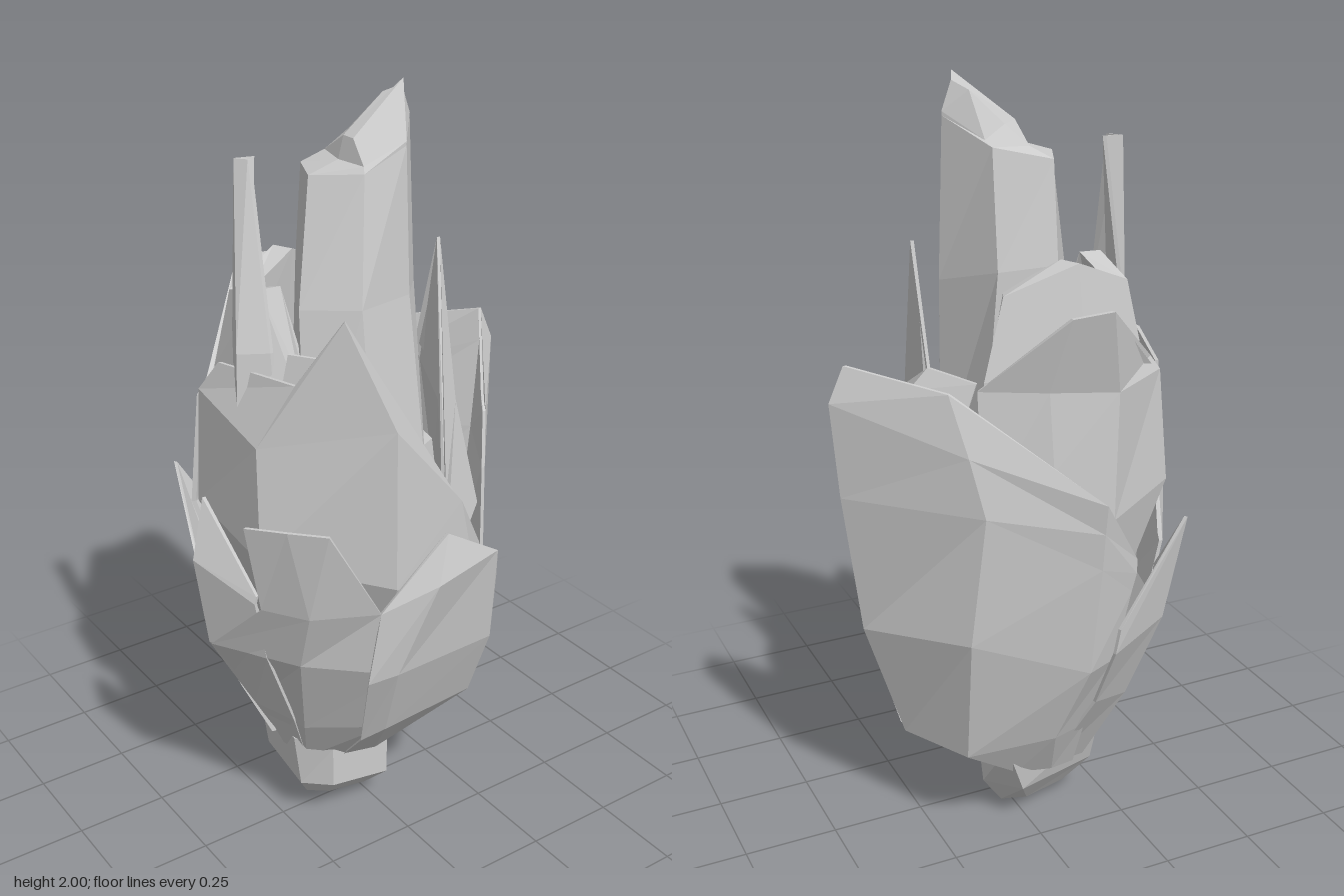
import * as THREE from 'three';

const material = new THREE.MeshStandardMaterial({ color: 0xcccccc, flatShading: true, side: THREE.DoubleSide });

function meshFromTriangles(name, tris) {
  const solid = tris.filter(([a, b, c]) => {
    const [p, q, r] = [a, b, c].map(v => new THREE.Vector3(...v));
    return q.sub(p).cross(r.sub(p)).length() > 1e-7;
  });
  const geometry = new THREE.BufferGeometry();
  geometry.setAttribute('position', new THREE.Float32BufferAttribute(solid.flat(2), 3));
  geometry.computeVertexNormals();
  const mesh = new THREE.Mesh(geometry, material);
  mesh.name = name;
  return mesh;
}

const quad = (a, b, c, d) => [[a, b, c], [a, c, d]];

// Closed solid through rings of points, bottom to top, with fan caps
function loft(name, rings) {
  const tris = [], n = rings[0].length, top = rings.length - 1;
  for (let i = 0; i < top; i++)
    for (let j = 0; j < n; j++) {
      const k = (j + 1) % n;
      tris.push(...quad(rings[i][j], rings[i][k], rings[i + 1][k], rings[i + 1][j]));
    }
  for (let j = 1; j < n - 1; j++) {
    tris.push([rings[0][0], rings[0][j + 1], rings[0][j]]);
    tris.push([rings[top][0], rings[top][j], rings[top][j + 1]]);
  }
  return meshFromTriangles(name, tris);
}

// Leaf thinning to its rim: rows run bottom to top, points left to right seen from outside
function leaf(name, rows, thickness = 0.045, rim = 0.2) {
  const m = rows.length - 1, n = rows[0].length - 1;
  const inner = rows.map((row, i) => row.map(([x, y, z], j) => {
    const depth = thickness * (i === m || j === 0 || j === n ? rim : 1);
    const s = 1 - depth / Math.max(Math.hypot(x, z), 0.1);
    return [x * s, y, z * s];
  }));
  const tris = [];
  for (let i = 0; i < m; i++) {
    for (let j = 0; j < n; j++) {
      tris.push(...quad(rows[i][j], rows[i][j + 1], rows[i + 1][j + 1], rows[i + 1][j]));
      tris.push(...quad(inner[i][j + 1], inner[i][j], inner[i + 1][j], inner[i + 1][j + 1]));
    }
    tris.push(...quad(inner[i][0], rows[i][0], rows[i + 1][0], inner[i + 1][0]));
    tris.push(...quad(rows[i][n], inner[i][n], inner[i + 1][n], rows[i + 1][n]));
  }
  for (let j = 0; j < n; j++) {
    tris.push(...quad(rows[m][j], rows[m][j + 1], inner[m][j + 1], inner[m][j]));
    tris.push(...quad(inner[0][j], inner[0][j + 1], rows[0][j + 1], rows[0][j]));
  }
  return meshFromTriangles(name, tris);
}

export function createModel() {
  const model = new THREE.Group();
  model.name = 'leafyBud';

  // Cut stem at the bottom
  model.add(loft('stem', [
    [[-.17, .04, 0], [-.12, .04, .04], [0, .02, .04], [.03, 0, -.06], [-.02, .03, -.12], [-.14, .04, -.1]],
    [[-.22, .12, .05], [-.16, .13, .12], [.02, .1, .12], [.08, .07, -.05], [.03, .12, -.2], [-.2, .13, -.15]],
    [[-.24, .28, .05], [-.16, .25, .12], [.02, .22, .12], [.08, .19, -.05], [.09, .28, -.23], [-.2, .26, -.19]],
  ]));

  // Solid heart that closes the gaps between leaves
  model.add(loft('heart', [[.2, .1], [.5, .2], [.85, .26], [1.1, .23]].map(([y, r]) =>
    Array.from({ length: 7 }, (_, j) => {
      const a = j / 7 * Math.PI * 2;
      return [-.03 + r * Math.sin(a), y, -.02 + r * Math.cos(a)];
    }))));

  // Tall central shoot with a stepped top
  model.add(loft('centralShoot', [
    [[-.22, 1, .1], [-.08, 1, .2], [.1, 1, .17], [.15, 1, .05], [.12, 1, -.14], [-.1, 1, -.16]],
    [[-.2, 1.5, .05], [-.08, 1.5, .14], [.08, 1.5, .11], [.16, 1.5, .02], [.08, 1.55, -.15], [-.08, 1.55, -.15]],
    [[-.13, 1.8, -.01], [-.04, 1.81, .09], [.08, 1.86, .09], [.155, 1.9, 0], [.08, 1.84, -.12], [-.08, 1.8, -.12]],
    [[-.045, 1.825, -.01], [-.035, 1.825, .08], [.08, 1.87, .09], [.155, 1.91, 0], [.08, 1.85, -.08], [-.03, 1.83, -.09]],
    [[-.03, 1.88, -.01], [-.03, 1.88, .03], [.12, 2, .02], [.13, 1.98, 0], [.1, 1.96, -.035], [.02, 1.88, -.06]],
  ]));

  // Inner leaves
  model.add(leaf('innerBackLeaf', [
    [[.15, .9, -.2], [-.1, .9, -.28], [-.3, .9, -.18], [-.35, .9, 0], [-.22, .9, .15]],
    [[.14, 1.3, -.2], [-.1, 1.3, -.27], [-.3, 1.3, -.19], [-.34, 1.3, -.01], [-.24, 1.2, .15]],
    [[.08, 1.5, -.18], [-.1, 1.57, -.22], [-.26, 1.5, -.17], [-.26, 1.54, -.03], [-.22, 1.22, .13]],
  ], .07, .8));
  model.add(leaf('innerSpike', [
    [[-.3, 1.2, -.12], [-.35, 1.2, 0], [-.27, 1.2, .05]],
    [[-.28, 1.4, -.13], [-.34, 1.4, -.01], [-.27, 1.4, .03]],
    [[-.23, 1.84, -.1], [-.27, 1.84, -.11], [-.25, 1.84, -.08]],
  ]));
  model.add(leaf('innerFrontLeaf', [
    [[-.3, .9, .03], [-.12, .9, .27], [.12, .9, .24]],
    [[-.28, 1.2, .05], [-.11, 1.2, .25], [.06, 1.1, .24]],
    [[-.24, 1.4, .06], [-.11, 1.39, .22], [.11, 1.04, .22]],
  ]));
  model.add(leaf('middleRightLeaf', [
    [[.05, .4, .15], [.16, .4, .08], [.18, .4, -.05], [.1, .4, -.15]],
    [[.08, .75, .28], [.27, .9, .17], [.33, .9, -.05], [.2, .9, -.25]],
    [[.1, 1, .25], [.21, 1.2, .14], [.27, 1.25, -.04], [.19, 1.25, -.22]],
    [[.11, 1.03, .23], [.225, 1.6, .04], [.22, 1.3, -.04], [.16, 1.3, -.2]],
  ]));
  model.add(leaf('middleFrontLeaf', [
    [[-.13, .35, -.12], [-.15, .35, .05], [-.08, .35, .14], [.1, .35, .12], [.14, .4, .04]],
    [[-.37, .95, -.18], [-.37, .9, .12], [-.12, .85, .345], [.2, .7, .27], [.32, .55, .13]],
    [[-.37, 1.27, -.15], [-.36, 1.2, .1], [-.12, 1.27, .34], [.12, 1, .29], [.29, .75, .17]],
    [[-.34, 1.35, -.1], [-.28, 1.36, .15], [-.2, 1.53, .24], [.11, 1.02, .27], [.29, .77, .16]],
  ]));

  // Outer leaves
  model.add(leaf('backLeaf', [
    [[.06, .25, -.12], [0, .25, -.15], [-.1, .25, -.15], [-.17, .25, -.08]],
    [[.1, .5, -.22], [0, .5, -.27], [-.12, .5, -.28], [-.27, .5, -.1]],
    [[.18, 1, -.28], [.02, 1.1, -.34], [-.14, .95, -.355], [-.39, .95, -.18]],
    [[.18, 1.3, -.25], [.03, 1.3, -.33], [-.15, 1.28, -.345], [-.37, 1.25, -.16]],
    [[.15, 1.31, -.24], [0, 1.49, -.385], [-.1, 1.5, -.4], [-.34, 1.29, -.16]],
  ], .06));
  // Broad leaf wrapping from the right side round to the back
  model.add(leaf('rightLeaf', [
    [[.08, .2, .05], [.08, .18, -.03], [.05, .18, -.2], [-.05, .17, -.21], [-.12, .17, -.2]],
    [[.28, .32, .08], [.3, .28, -.03], [.2, .28, -.22], [-.02, .32, -.29], [-.12, .32, -.26]],
    [[.32, .46, .15], [.41, .62, -.04], [.22, .65, -.295], [-.07, .55, -.38], [-.16, .55, -.34]],
    [[.35, .95, .1], [.46, 1, -.05], [.19, 1, -.32], [-.08, .85, -.41], [-.19, .75, -.365]],
    [[.37, 1.1, .07], [.48, 1.25, -.05], [.22, 1.15, -.29], [-.08, .95, -.42], [-.2, .8, -.37]],
    [[.38, 1.12, .05], [.44, 1.34, -.05], [.25, 1.3, -.24], [-.08, 1.03, -.43], [-.2, .84, -.37]],
  ]));
  model.add(leaf('smallBackLeaf', [
    [[-.05, .18, -.2], [-.16, .17, -.18], [-.23, .22, -.08]],
    [[-.12, .42, -.32], [-.23, .4, -.28], [-.3, .38, -.12]],
    [[-.13, .6, -.4], [-.28, .66, -.37], [-.385, .61, -.15]],
    [[-.14, .67, -.405], [-.315, .95, -.41], [-.38, .7, -.17]],
  ]));
  model.add(leaf('leftLeaf', [
    [[-.2, .2, -.12], [-.23, .24, -.03], [-.2, .2, .05]],
    [[-.28, .4, -.14], [-.31, .38, -.03], [-.27, .38, .1]],
    [[-.37, .62, -.16], [-.44, .62, -.03], [-.36, .62, .12]],
    [[-.4, .76, -.16], [-.48, .88, -.02], [-.39, .79, .12]],
    [[-.4, .78, -.15], [-.44, 1.04, -.03], [-.385, .81, .12]],
  ]));
  model.add(leaf('frontLeftLeaf', [
    [[-.23, .22, -.02], [-.2, .2, .05], [-.12, .2, .1]],
    [[-.31, .4, -.02], [-.25, .36, .12], [-.11, .4, .28]],
    [[-.44, .62, -.02], [-.31, .62, .2], [-.13, .62, .37]],
    [[-.39, .79, .15], [-.32, .79, .26], [-.17, .8, .35]],
    [[-.44, 1.04, .165], [-.37, 1.04, .245], [-.3, 1.04, .32]],
  ]));
  model.add(leaf('frontLeaf', [
    [[-.12, .2, .1], [-.02, .2, .12], [.05, .2, .1], [.1, .2, 0]],
    [[-.16, .36, .25], [-.11, .4, .29], [.17, .41, .28], [.3, .29, 0]],
    [[-.2, .6, .34], [-.13, .62, .37], [.17, .62, .36], [.32, .46, .17]],
    [[-.17, .8, .35], [-.05, .875, .425], [.15, .9, .4], [.27, .72, .26]],
    [[-.17, .8, .35], [0, .99, .39], [0, .99, .39], [.27, .73, .25]],
  ]));

  return model;
}
